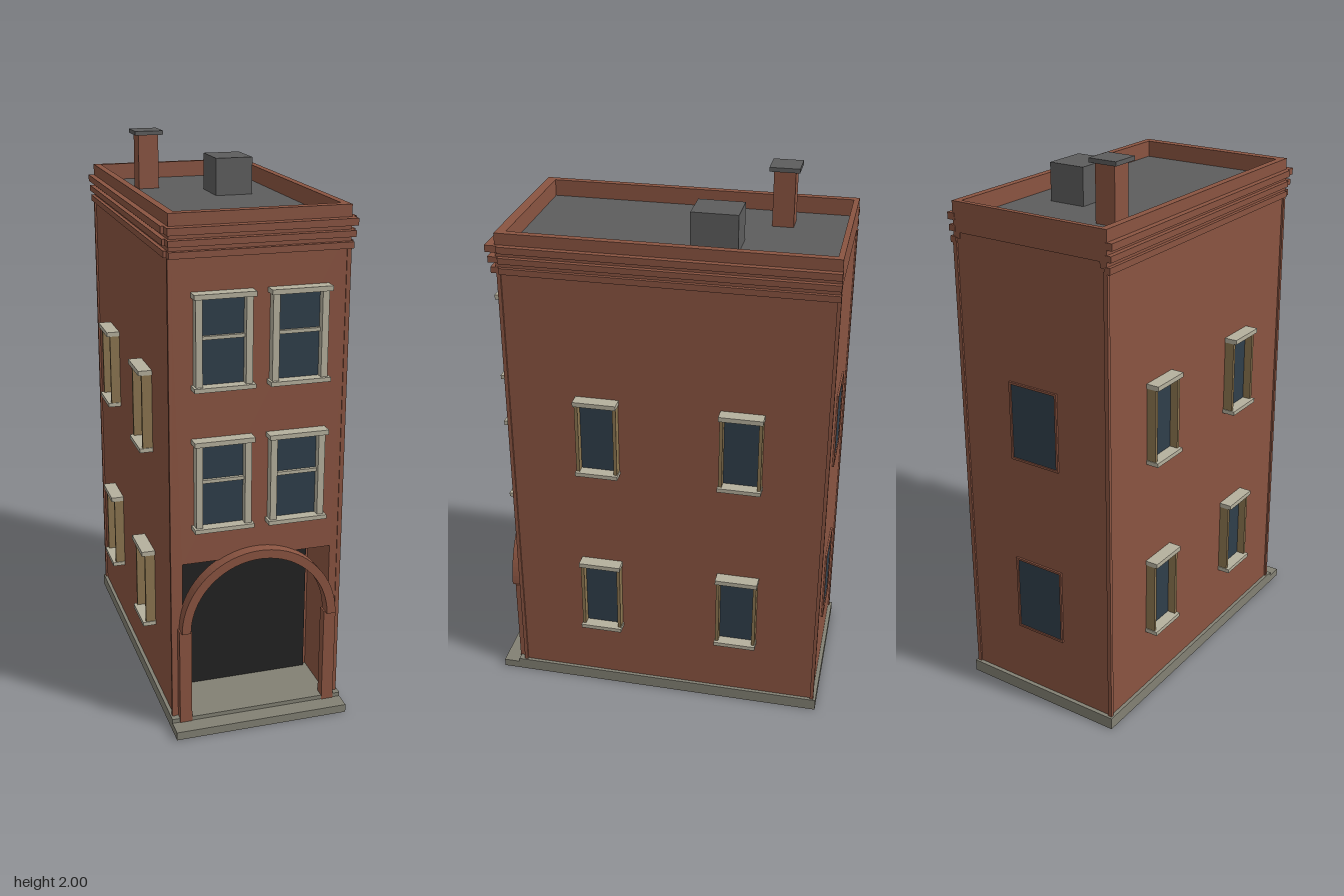
import * as THREE from 'three';

const mat = (name, color, extra = {}) => {
  const m = new THREE.MeshStandardMaterial({ color, ...extra });
  m.name = name;
  return m;
};

export function createModel() {
  const model = new THREE.Group();
  model.name = 'townhouse';
  const brick = mat('brick', 0x8a5441);
  const stone = mat('stone', 0x828073);
  const trim = mat('trim', 0xb5b09d);
  const wood = mat('wood', 0x8b7550);
  const glass = mat('glass', 0x2f3e4a);
  const roofGrey = mat('roofGrey', 0x5d5d5d);
  const dark = mat('dark', 0x222222);
  const white = mat('white', 0xe8e8e4);

  // Box given by its min and max on each axis
  const box = (parent, name, m, x0, x1, y0, y1, z0, z1) => {
    const mesh = new THREE.Mesh(new THREE.BoxGeometry(x1 - x0, y1 - y0, z1 - z0), m);
    mesh.position.set((x0 + x1) / 2, (y0 + y1) / 2, (z0 + z1) / 2);
    mesh.name = name;
    parent.add(mesh);
    return mesh;
  };
  const extrude = (name, shape, depth, z, m, curveSegments = 24) => {
    const geo = new THREE.ExtrudeGeometry(shape, { depth, bevelEnabled: false, curveSegments });
    const mesh = new THREE.Mesh(geo, m);
    mesh.position.z = z;
    mesh.name = name;
    model.add(mesh);
  };

  // Foundation and front step
  box(model, 'foundation', stone, -0.318, 0.318, 0, 0.045, -0.627, 0.565);
  box(model, 'frontStep', stone, -0.318, 0.318, 0, 0.03, 0.565, 0.627);

  // Rear body, and front body with the rectangular entrance recess
  const W = 0.305, TOP = 1.78;
  box(model, 'rearBody', brick, -W, W, 0.04, TOP, -0.612, 0.33);
  const facade = new THREE.Shape([
    [-W, 0.04], [-0.27, 0.04], [-0.27, 0.635], [0.27, 0.635],
    [0.27, 0.04], [W, 0.04], [W, TOP], [-W, TOP],
  ].map(([x, y]) => new THREE.Vector2(x, y)));
  extrude('frontBody', facade, 0.21, 0.33, brick);

  // Slim corner strips
  for (const s of [-1, 1]) {
    for (const [z0, z1] of [[-0.618, -0.605], [0.53, 0.543]]) {
      const a = s * 0.297, b = s * 0.312;
      box(model, 'cornerStrip', brick, Math.min(a, b), Math.max(a, b), 0.04, 1.71, z0, z1);
    }
  }

  // Parapet, roof deck
  for (const s of [-1, 1]) {
    box(model, 'sideParapet', brick, s > 0 ? 0.283 : -0.309, s > 0 ? 0.309 : -0.283, 1.72, 1.845, -0.616, 0.545);
  }
  box(model, 'frontParapet', brick, -0.283, 0.283, 1.72, 1.845, 0.51, 0.545);
  box(model, 'backParapet', brick, -0.283, 0.283, 1.74, 1.845, -0.616, -0.597);
  box(model, 'roofDeck', roofGrey, -0.283, 0.283, 1.775, 1.785, -0.597, 0.51);

  // Stepped cornice bands on the front and sides
  [[1.703, 1.725, 0.322, 0.563], [1.742, 1.763, 0.326, 0.57], [1.78, 1.804, 0.33, 0.577]]
    .forEach(([y0, y1, x, z]) => {
      box(model, 'frontCornice', brick, -x + 0.01, x - 0.01, y0, y1, 0.533, z);
      box(model, 'leftCornice', brick, 0.3, x, y0, y1, -0.618, 0.533);
      box(model, 'rightCornice', brick, -x, -0.3, y0, y1, -0.618, 0.533);
    });

  // Chimney and roof vent
  box(model, 'chimney', brick, -0.193, -0.117, 1.77, 1.985, -0.405, -0.329);
  box(model, 'chimneyCap', roofGrey, -0.208, -0.102, 1.985, 2, -0.42, -0.314);
  box(model, 'roofVent', roofGrey, 0.04, 0.178, 1.77, 1.92, -0.258, -0.095);

  // Entrance: dark door, transom, pillars and arch
  box(model, 'door', dark, -0.257, 0.257, 0, 0.547, 0.325, 0.345);
  box(model, 'transomFrame', white, -0.095, 0.095, 0.51, 0.566, 0.326, 0.334);
  box(model, 'transomGlass', glass, -0.086, 0.086, 0.51, 0.558, 0.33, 0.338);
  for (const s of [-1, 1]) {
    box(model, 'pillar', brick, s > 0 ? 0.246 : -0.29, s > 0 ? 0.29 : -0.246, 0.02, 0.39, 0.53, 0.568);
  }
  const arch = new THREE.Shape();
  arch.absarc(0, 0.388, 0.284, 0, Math.PI, false);
  arch.absarc(0, 0.388, 0.252, Math.PI, 0, true);
  extrude('entranceArch', arch, 0.05, 0.532, brick);

  // Framed window, centred at the sill and facing +z on a wall at z = 0
  const windowUnit = ({ w, h, jamb, jambMat, depth, over, bar }) => {
    const g = new THREE.Group();
    g.name = 'window';
    box(g, 'glass', glass, -w / 2 + jamb, w / 2 - jamb, 0.012, h - 0.012, -0.002, 0.006);
    box(g, 'sill', trim, -w / 2 - over, w / 2 + over, 0, 0.015, -0.005, depth + 0.012);
    box(g, 'lintel', trim, -w / 2 - over, w / 2 + over, h - 0.017, h, -0.005, depth + 0.012);
    for (const s of [-1, 1]) {
      const c = s * (w / 2 - jamb / 2);
      box(g, 'jamb', jambMat, c - jamb / 2, c + jamb / 2, 0.015, h - 0.017, -0.005, depth);
    }
    if (bar) box(g, 'sashBar', trim, -w / 2 + jamb, w / 2 - jamb, h * 0.52, h * 0.52 + 0.012, 0, 0.018);
    return g;
  };

  // Front windows
  for (const y of [0.763, 1.262]) {
    for (const x of [-0.131, 0.131]) {
      const win = windowUnit({ w: 0.194, h: 0.327, jamb: 0.023, jambMat: trim, depth: 0.033, over: 0.008, bar: true });
      win.position.set(x, y, 0.54);
      model.add(win);
    }
  }

  // Side and back windows
  for (const y of [0.276, 0.96]) {
    for (const s of [-1, 1]) {
      for (const z of [0.208, -0.31]) {
        const win = windowUnit({ w: 0.15, h: 0.3, jamb: 0.012, jambMat: wood, depth: 0.036, over: 0.003 });
        win.position.set(s * W, y, z);
        win.rotation.y = s * Math.PI / 2;
        model.add(win);
      }
    }
    box(model, 'backGlass', glass, -0.093, 0.093, y + 0.01, y + 0.288, -0.615, -0.608);
    for (const s of [-1, 1]) {
      box(model, 'backFrameSide', brick, s * 0.096 - 0.004, s * 0.096 + 0.004, y + 0.004, y + 0.294, -0.619, -0.61);
    }
    for (const fy of [y + 0.004, y + 0.286]) {
      box(model, 'backFrameRail', brick, -0.092, 0.092, fy, fy + 0.008, -0.619, -0.61);
    }
  }
  return model;
}
